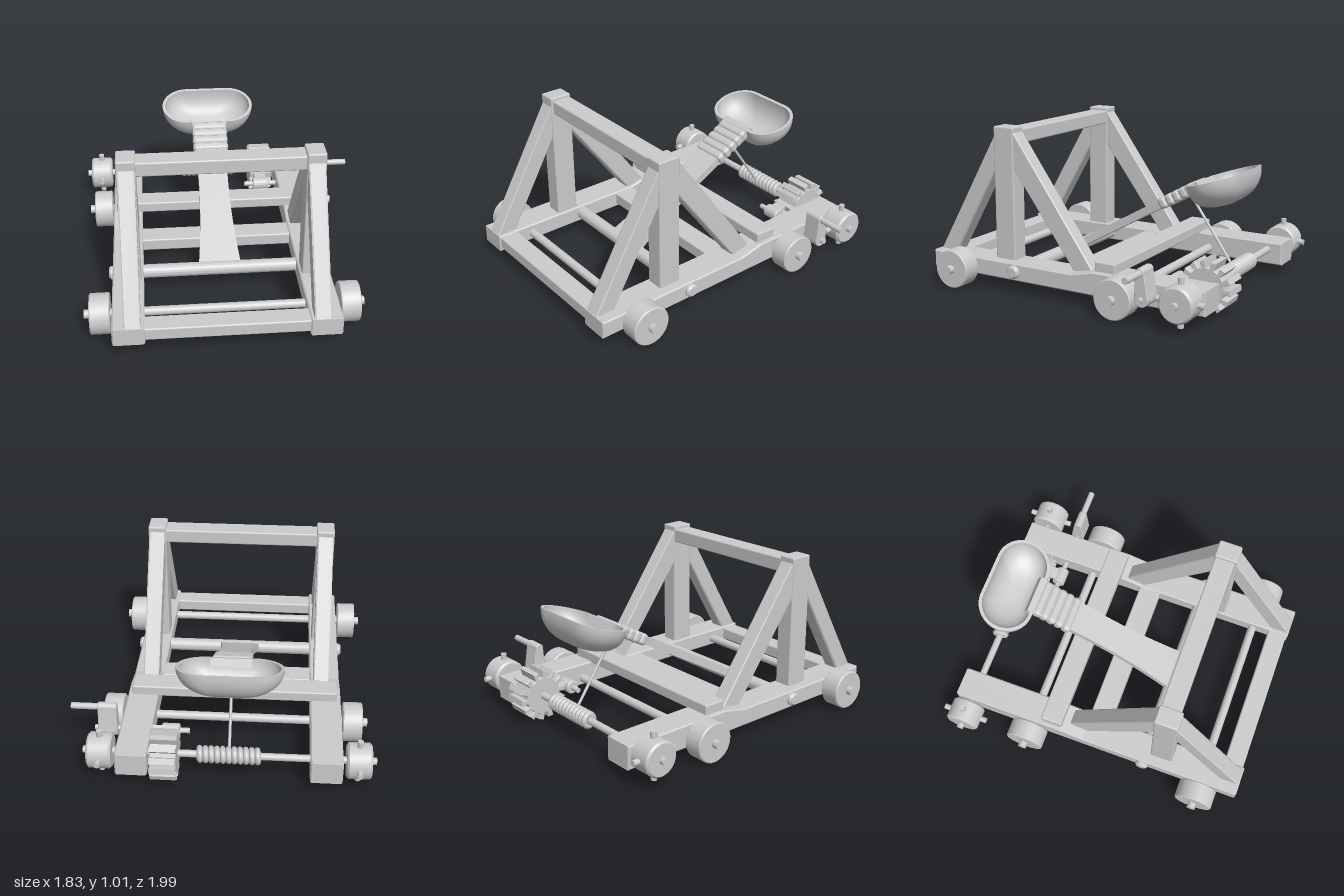
import * as THREE from 'three';
import { RoundedBoxGeometry } from 'three/addons/geometries/RoundedBoxGeometry.js';
import { toCreasedNormals } from 'three/addons/utils/BufferGeometryUtils.js';

const CX = -0.057; // centre line of the frame
const mat = new THREE.MeshStandardMaterial({ color: 0xcccccc });

function add(parent, name, geo, x = 0, y = 0, z = 0) {
  const m = new THREE.Mesh(geo, mat);
  m.name = name;
  m.position.set(x, y, z);
  parent.add(m);
  return m;
}

// Beam with softened edges, given by its extents
function beam(parent, name, x0, x1, y0, y1, z0, z1) {
  const geo = new RoundedBoxGeometry(x1 - x0, y1 - y0, z1 - z0, 2, 0.01);
  return add(parent, name, geo, (x0 + x1) / 2, (y0 + y1) / 2, (z0 + z1) / 2);
}

// Round bar along x
function rod(parent, name, x0, x1, r, y, z) {
  const geo = new THREE.CylinderGeometry(r, r, x1 - x0, 32).rotateZ(Math.PI / 2);
  return add(parent, name, geo, (x0 + x1) / 2, y, z);
}

// Drum along x with chamfered rims
function drum(parent, name, x0, x1, r, y, z, c = 0.012) {
  const h = (x1 - x0) / 2;
  const pts = [[0, -h], [r - c, -h], [r, -h + c], [r, h - c], [r - c, h], [0, h]];
  const geo = new THREE.LatheGeometry(pts.map(p => new THREE.Vector2(...p)), 40).rotateZ(Math.PI / 2);
  return add(parent, name, toCreasedNormals(geo, 0.5), (x0 + x1) / 2, y, z);
}

// Side outline in (z, y), extruded along x around its own centre
function slab(shape, width, bevel = 0.008) {
  const geo = new THREE.ExtrudeGeometry(shape, {
    depth: width - 2 * bevel, bevelEnabled: true, bevelThickness: bevel,
    bevelSize: bevel, bevelOffset: -bevel, bevelSegments: 1, curveSegments: 16,
  });
  geo.translate(0, 0, bevel - width / 2).rotateY(-Math.PI / 2);
  return geo;
}
const outline = pts => new THREE.Shape(pts.map(p => new THREE.Vector2(...p)));

// Oblong bowl: outer skin from the bottom to the rim, then inner skin back down
function bowlGeometry() {
  const N = 56, M = 14, pos = [], idx = [];
  const ring = (t, wall) => {
    const s = Math.pow(Math.max(0, Math.cos(t)), 0.72), d = Math.pow(Math.sin(t), 0.95);
    for (let i = 0; i < N; i++) {
      const a = (i + 0.5) / N * Math.PI * 2, r = 0.172 - wall;
      pos.push(s * (Math.sign(Math.cos(a)) * 0.138 + r * Math.cos(a)),
        -(0.172 - wall) * d, s * r * Math.sin(a) + 0.025 * d);
    }
  };
  for (let j = 0; j <= M; j++) ring((1 - j / M) * Math.PI / 2, 0);
  for (let j = 0; j <= M; j++) ring(j / M * Math.PI / 2, 0.02);
  for (let j = 0; j < 2 * M + 1; j++) {
    for (let i = 0; i < N; i++) {
      const k = (i + 1) % N, a = j * N + i, b = j * N + k;
      idx.push(a, a + N, b + N, a, b + N, b);
    }
  }
  const geo = new THREE.BufferGeometry();
  geo.setAttribute('position', new THREE.Float32BufferAttribute(pos, 3));
  geo.setIndex(idx);
  return toCreasedNormals(geo, 0.7);
}

export function createModel() {
  const model = new THREE.Group();
  model.name = 'catapult';

  // Side frames
  const rail = outline([[0.99, 0.08], [0.99, 0.19], [-0.06, 0.19], [-0.22, 0.225], [-0.94, 0.225], [-0.94, 0.08]]);
  const frontBrace = outline([[0.99, 0.18], [0.86, 0.18], [0.53, 0.75], [0.53, 0.97]]);
  const backBrace = outline([[0.4, 1.0], [0.4, 0.77], [-0.04, 0.18], [-0.19, 0.18]]);
  for (const s of [-1, 1]) {
    const side = new THREE.Group();
    side.name = s < 0 ? 'rightFrame' : 'leftFrame';
    model.add(side);
    const px = CX + s * 0.548;
    add(side, 'rail', slab(rail, 0.19), CX + s * 0.572);
    beam(side, 'post', px - 0.057, px + 0.057, 0.1, 1.02, 0.39, 0.535);
    add(side, 'frontBrace', slab(frontBrace, 0.1), px);
    add(side, 'backBrace', slab(backBrace, 0.1), px);
  }

  // Cross beams
  beam(model, 'topBeam', -0.6, 0.49, 0.91, 1.0, 0.395, 0.52);
  beam(model, 'frontBeam', -0.6, 0.49, 0.1, 0.18, 0.855, 0.98);
  beam(model, 'middleBeam', -0.6, 0.49, 0.1, 0.18, -0.07, 0.075);
  beam(model, 'restPlank', -0.7, 0.583, 0.215, 0.285, -0.35, -0.21);

  // Wheels on their axles
  for (const z of [0.745, -0.42]) {
    rod(model, 'axle', -0.89, 0.776, 0.027, 0.128, z);
    for (const s of [-1, 1]) {
      const x = CX + s * 0.738;
      drum(model, 'wheel', x - 0.06, x + 0.06, 0.122, 0.128, z, 0.006);
    }
  }

  // Arm pivot
  drum(model, 'pivotRod', -0.75, 0.636, 0.042, 0.137, 0.355);

  // Throwing arm: a board waisted in the middle, with rope bound near its tip
  const arm = new THREE.Group();
  arm.name = 'throwingArm';
  arm.position.set(CX, 0.137, 0.355);
  arm.rotation.x = 0.513;
  model.add(arm);
  const board = new THREE.BoxGeometry(1, 0.05, 1.12, 1, 1, 16).translate(0, 0, -0.56);
  const p = board.attributes.position;
  for (let i = 0; i < p.count; i++) {
    const t = -p.getZ(i) / 1.12;
    p.setX(i, p.getX(i) * (0.192 + 0.25 * Math.pow(t - 0.55, 2)));
  }
  board.computeVertexNormals();
  add(arm, 'board', board);
  for (let i = 0; i < 5; i++) {
    add(arm, 'binding', new RoundedBoxGeometry(0.236, 0.074, 0.056, 3, 0.022), 0, 0, -0.835 - i * 0.054);
  }

  // Bowl at the arm's tip
  const bowl = add(model, 'bowl', bowlGeometry(), CX, 0.74, -0.738);
  bowl.rotation.x = 0.29;

  // Winch: shaft, handles with pins, rope coil
  const WY = 0.178, WZ = -0.84;
  rod(model, 'winchShaft', -0.92, 0.806, 0.022, WY, WZ);
  for (const s of [-1, 1]) {
    const x = CX + s * 0.76;
    drum(model, 'winchHub', x - 0.073, x + 0.073, 0.107, WY, WZ);
    for (const turn of [0, Math.PI / 2]) {
      add(model, 'winchPin', new THREE.CylinderGeometry(0.018, 0.018, 0.29, 16), x, WY, WZ).rotation.x = turn;
    }
  }
  rod(model, 'coilCore', -0.24, 0.13, 0.037, WY, WZ);
  for (let i = 0; i < 11; i++) {
    const loop = new THREE.TorusGeometry(0.036, 0.018, 8, 28).rotateY(Math.PI / 2 + 0.12);
    add(model, 'ropeCoil', loop, -0.225 + i * 0.034, WY, WZ);
  }
  const rope = new THREE.LineCurve3(new THREE.Vector3(CX, 0.62, -0.5), new THREE.Vector3(CX, 0.2, -0.795));
  add(model, 'rope', new THREE.TubeGeometry(rope, 1, 0.009, 8));

  // Ratchet gear
  const teeth = [];
  const count = 14;
  for (let i = 0; i < count; i++) {
    for (const [r, f] of [[0.117, 0], [0.155, -0.08], [0.163, 0.42], [0.117, 0.52]]) {
      const a = (i + f) / count * Math.PI * 2;
      teeth.push([r * Math.cos(a), r * Math.sin(a)]);
    }
  }
  add(model, 'ratchetGear', slab(outline(teeth), 0.155, 0.003), 0.322, WY, WZ);

  // Pawl, its shaft and the crank that lifts it
  const PY = 0.165, PZ = -0.615;
  rod(model, 'pawlShaft', 0.195, 0.775, 0.017, PY, PZ);
  drum(model, 'pawlHub', 0.255, 0.365, 0.042, PY, PZ, 0.006);
  const pawl = outline([[0.02, 0.035], [0.02, -0.01], [-0.1, 0.02], [-0.1, 0.045]]);
  add(model, 'pawl', slab(pawl, 0.08, 0.004), 0.31, PY, PZ);
  const crank = new THREE.Shape();
  crank.absarc(0, 0, 0.045, Math.PI - 0.1, Math.PI * 2 + 0.1, false);
  crank.absarc(0.008, 0.155, 0.028, -0.1, Math.PI + 0.1, false);
  add(model, 'crank', slab(crank, 0.115, 0.005), 0.692, PY, PZ);
  rod(model, 'crankHandle', 0.7, 0.912, 0.02, PY + 0.153, PZ + 0.008);

  return model;
}
